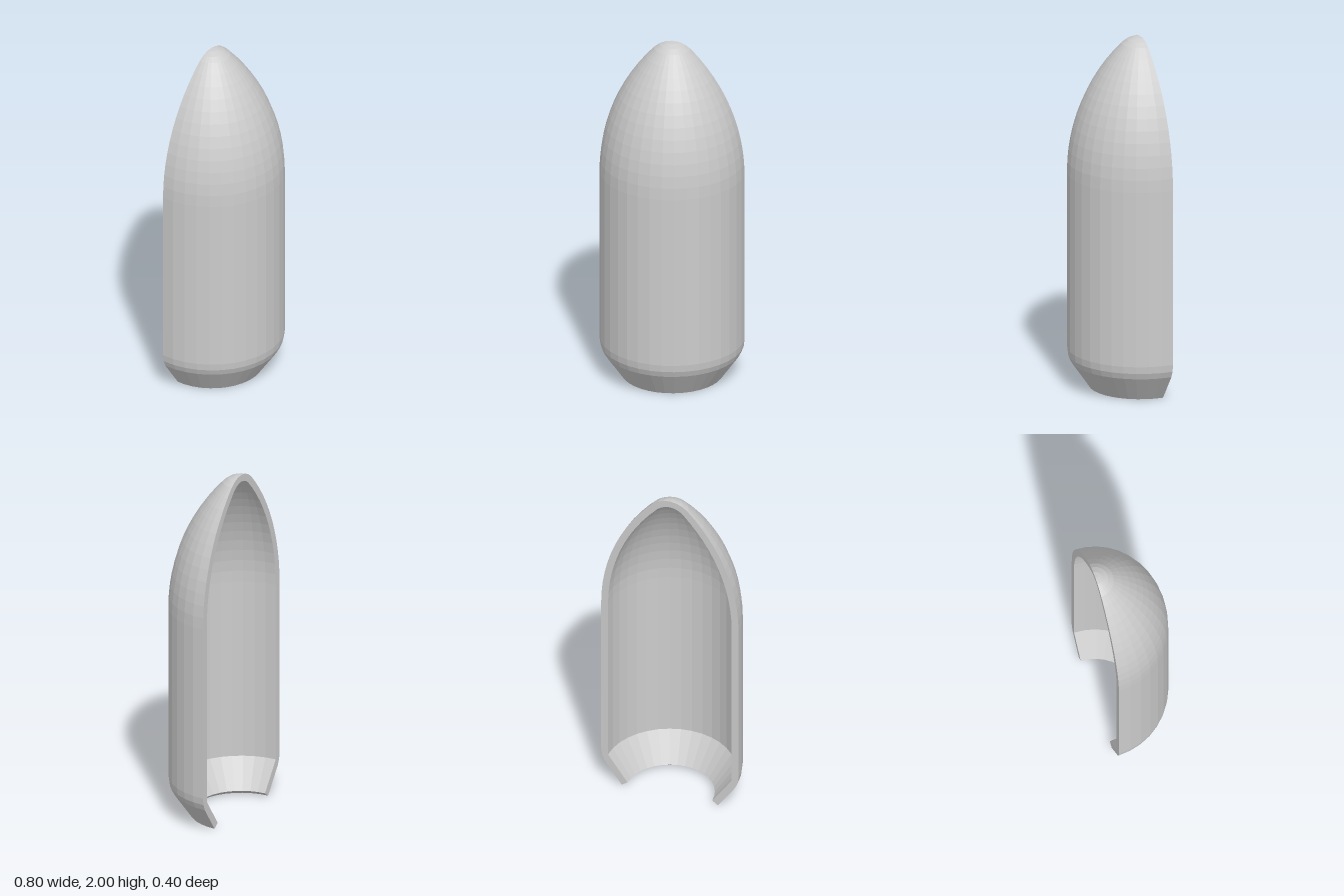
import * as THREE from 'three';

const AXIS_Z = -0.2;   // the half shell is cut through its axis
const WALL = 0.04;
const SEGMENTS = 18;

const material = new THREE.MeshStandardMaterial({ color: 0xcccccc, flatShading: true });
const point = (r, y) => new THREE.Vector2(r, y);

// Points on an arc; angles are measured up from the horizontal
function arc(cx, cy, radius, from, to, steps) {
  return Array.from({ length: steps + 1 }, (_, i) => {
    const a = from + (to - from) * i / steps;
    return point(Math.max(0, cx + radius * Math.cos(a)), cy + radius * Math.sin(a));
  });
}

// Long ogive curve followed by a small round tip, both inset by the wall
function nose(inset) {
  const tipAngle = 0.771;
  const side = arc(-0.66, 1.22, 1.06 - inset, 0, tipAngle, 12);
  const tip = arc(0, 1.861, 0.139 - inset, tipAngle, Math.PI / 2, 3);
  return [...side, ...tip.slice(1)];
}

function addHalfLathe(group, name, points) {
  const geometry = new THREE.LatheGeometry(points, SEGMENTS, -Math.PI / 2, Math.PI);
  const mesh = new THREE.Mesh(geometry, material);
  mesh.name = name;
  mesh.position.z = AXIS_Z;
  group.add(mesh);
}

export function createModel() {
  const group = new THREE.Group();
  group.name = 'halfShell';

  // Profiles from the base up to the tip
  const base = point(0.28, 0);
  const innerBase = point(0.247, 0.025);
  const outer = [base, point(0.381, 0.145), point(0.395, 0.18), point(0.4, 0.22), ...nose(0)];
  const inner = [innerBase, point(0.36, 0.187), ...nose(WALL)];

  addHalfLathe(group, 'outerSkin', outer);
  addHalfLathe(group, 'innerSkin', [...inner].reverse());
  addHalfLathe(group, 'baseRim', [innerBase, base]);

  // Flat wall section along the cut, facing backwards
  const mirrored = (points) => points.map((p) => point(-p.x, p.y));
  const outline = [
    ...outer, ...mirrored(outer.slice(0, -1)).reverse(),
    ...mirrored(inner), ...inner.slice(0, -1).reverse(),
  ];
  const cut = new THREE.Mesh(new THREE.ShapeGeometry(new THREE.Shape(outline)), material);
  cut.name = 'cutFace';
  cut.rotation.y = Math.PI;
  cut.position.z = AXIS_Z;
  group.add(cut);

  return group;
}
